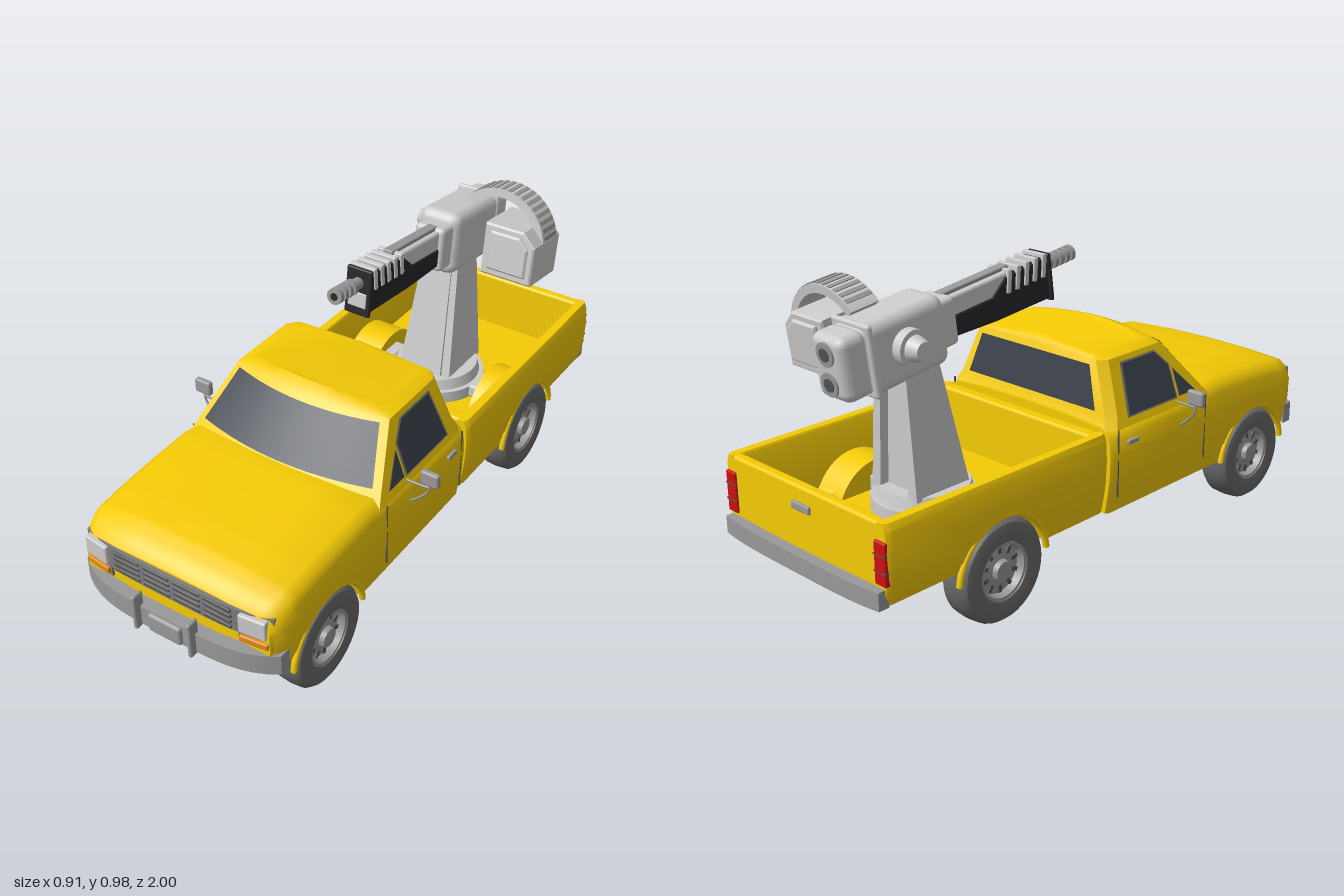
import * as THREE from 'three';
import { toCreasedNormals } from 'three/addons/utils/BufferGeometryUtils.js';
import { RoundedBoxGeometry } from 'three/addons/geometries/RoundedBoxGeometry.js';

const mat = (color, side = THREE.FrontSide) => new THREE.MeshStandardMaterial({ color, side });
const paint = mat(0xf5cb05, THREE.DoubleSide), glass = mat(0x3c424c, THREE.DoubleSide);
const grey = mat(0xcccccc), steel = mat(0x999999), rubber = mat(0x6a6a6a), under = mat(0x555555);
const dark = mat(0x28282c), red = mat(0xcc1111), amber = mat(0xe08a1e), trim = mat(0x7d7d7d, THREE.DoubleSide);
const lerp = THREE.MathUtils.lerp;

function add(parent, name, geo, material, x = 0, y = 0, z = 0) {
  const m = new THREE.Mesh(geo, material);
  m.name = name;
  m.position.set(x, y, z);
  parent.add(m);
  return m;
}
const box = (w, h, d) => new THREE.BoxGeometry(w, h, d);
const rbox = (w, h, d, r = 0.01) => new RoundedBoxGeometry(w, h, d, 2, r);
const cyl = (r1, r2, h, n = 24) => new THREE.CylinderGeometry(r1, r2, h, n);
const cylX = (r1, r2, h, n) => cyl(r1, r2, h, n).rotateZ(-Math.PI / 2);
const cylZ = (r1, r2, h, n) => cyl(r1, r2, h, n).rotateX(Math.PI / 2);
const shape = pts => new THREE.Shape(pts.map(p => new THREE.Vector2(...p)));
const tube = (pts, r) => new THREE.TubeGeometry(new THREE.CatmullRomCurve3(pts.map(p => new THREE.Vector3(...p))), 16, r, 8);

// Moves every vertex by a rule
function warp(geo, rule) {
  const p = geo.attributes.position, v = new THREE.Vector3();
  for (let i = 0; i < p.count; i++) {
    rule(v.fromBufferAttribute(p, i));
    p.setXYZ(i, v.x, v.y, v.z);
  }
  geo.computeVertexNormals();
  return geo;
}
// Side profile of [z, y] points, extruded across x and centred
const sideExtrude = (pts, width, bevel = 0) => new THREE.ExtrudeGeometry(shape(pts.map(([z, y]) => [-z, y])), {
  depth: width - 2 * bevel, bevelEnabled: bevel > 0, bevelSize: bevel, bevelThickness: bevel, bevelOffset: -bevel, bevelSegments: 1,
}).translate(0, 0, -width / 2 + bevel).rotateY(Math.PI / 2);

// Skin over closed rings, with triangulated caps; (a, b) are the axes of the cap plane
function loft(rings, a, b) {
  const n = rings[0].length, index = [];
  for (let i = 0; i < rings.length - 1; i++) for (let j = 0; j < n; j++) {
    const k = (j + 1) % n, p = i * n, q = p + n;
    index.push(p + j, p + k, q + k, p + j, q + k, q + j);
  }
  for (const i of [0, rings.length - 1]) {
    const faces = THREE.ShapeUtils.triangulateShape(rings[i].map(p => new THREE.Vector2(p[a], p[b])), []);
    for (const [u, v, w] of faces) index.push(...(i ? [u, v, w] : [u, w, v]).map(t => t + i * n));
  }
  const g = new THREE.BufferGeometry();
  g.setAttribute('position', new THREE.Float32BufferAttribute(rings.flat(2), 3));
  g.setIndex(index);
  return toCreasedNormals(g, 0.6);
}
const mirrorRing = (half, z) => [...half, ...half.slice(1, -1).reverse().map(([x, y]) => [-x, y])].map(([x, y]) => [x, y, z]);

const AXLE_Y = 0.165, FRONT = 0.68, REAR = -0.53, ARCH = 0.175;
const sill = (z, zc, base) => Math.max(base, Math.abs(z - zc) < ARCH ? AXLE_Y + Math.sqrt(ARCH ** 2 - (z - zc) ** 2) : 0);
function stations(z0, z1, zc, extra) {
  const s = [z0, z1, ...extra];
  for (let k = 0; k <= 24; k++) s.push(zc + ARCH * Math.cos(k * Math.PI / 24));
  return s.sort((p, q) => p - q);
}
const lowerSide = (yb, s) => [[0, 0.2], [0.24, 0.2], [0.24, Math.max(0.2, yb)], [0.345 * s, yb],
  [0.355 * s, Math.max(yb, 0.25)], [0.362 * s, Math.max(yb, 0.3)], [0.365 * s, 0.375]];

// Height of the hood and cowl along z
const hood = [[-0.075, 0.47], [0.4, 0.487], [0.46, 0.496], [0.6, 0.491], [0.75, 0.482], [0.84, 0.472], [0.89, 0.455], [0.915, 0.438], [0.928, 0.42]];
function hoodY(z) {
  const i = Math.max(1, hood.findIndex(p => p[0] >= z - 1e-6)), [p, q] = [hood[i - 1], hood[i]];
  return lerp(p[1], q[1], (z - p[0]) / (q[0] - p[0]));
}
function cabBody() {
  const zs = stations(-0.075, 0.928, FRONT, [-0.06, 0.2, 0.4, 0.46, 0.87, 0.89, 0.905, 0.915]);
  return loft(zs.map(z => {
    const s = z > 0.84 ? 1 - 0.09 * ((z - 0.84) / 0.088) ** 2 : z < -0.07 ? 0.98 : 1, t = hoodY(z);
    return mirrorRing([...lowerSide(sill(z, FRONT, z > FRONT ? 0.22 : 0.185), s), [0.36 * s, t - 0.05],
      [0.348 * s, t - 0.025], [0.322 * s, t - 0.006], [0.17 * s, t + 0.003], [0, t + 0.006]], z);
  }), 0, 1);
}
function bedBody() {
  const zs = stations(-0.96, -0.09, REAR, [-0.945, -0.105]);
  return loft(zs.map((z, i) => {
    const s = i === 0 || i === zs.length - 1 ? 0.975 : 1;
    return mirrorRing([...lowerSide(sill(z, REAR, z < REAR ? 0.22 : 0.2), s), [0.36 * s, 0.44],
      [0.35 * s, 0.46], [0.322, 0.46], [0.315, 0.45], [0.312, 0.26], [0, 0.26]], z);
  }), 0, 1);
}

// Greenhouse levels: y, half width, front centre z, front side z, rear z, crown
const levels = [[0.455, 0.354, 0.475, 0.42, -0.072, 0], [0.49, 0.34, 0.445, 0.39, -0.055, 0], [0.655, 0.278, 0.3, 0.25, -0.03, 0.004],
  [0.665, 0.262, 0.28, 0.235, -0.022, 0.011], [0.669, 0.225, 0.25, 0.21, -0.005, 0.016]];
const greenhouse = () => loft(levels.map(([y, w, zc, zs, zr, c]) => {
  const ring = [];
  for (let k = 0; k <= 12; k++) {
    const u = 1 - k / 6;
    ring.push([u * w, y + c * (1 - u * u), lerp(zs, zc, 1 - u * u)]);
  }
  ring.push([-w, y, zr + 0.03], [-w + 0.025, y, zr], [0, y + c, zr], [w - 0.025, y, zr], [w, y, zr + 0.03]);
  return ring;
}), 0, 2);
const sideX = y => lerp(0.34, 0.278, (y - 0.49) / 0.165);
const sidePane = (pts, s, off) => warp(new THREE.ShapeGeometry(shape(pts)), v => v.set(s * (sideX(v.y) + off), v.y, v.x));
const grow = (pts, k) => {
  const c = [0, 1].map(a => pts.reduce((t, p) => t + p[a], 0) / pts.length);
  return pts.map(p => [0, 1].map(a => c[a] + (p[a] - c[a]) * k));
};

function wheel(s) {
  const g = new THREE.Group();
  g.name = 'wheel';
  const tyre = [[0.088, -0.05], [0.125, -0.057], [0.15, -0.05], [0.161, -0.036], [0.164, 0], [0.161, 0.036], [0.15, 0.05], [0.125, 0.057], [0.092, 0.05], [0.088, 0.02]];
  const rim = [[0, -0.04], [0.088, -0.045], [0.09, 0.046], [0.082, 0.046], [0.076, 0.022], [0.045, 0.03], [0.034, 0.032], [0.03, 0.048], [0, 0.05]];
  const spin = pts => toCreasedNormals(new THREE.LatheGeometry(pts.map(p => new THREE.Vector2(...p)), 40).rotateZ(-Math.PI / 2), 0.6);
  add(g, 'tyre', spin(tyre), rubber);
  add(g, 'rim', spin(rim), steel);
  for (let k = 0; k < 10; k++) {
    const a = k * Math.PI / 5;
    add(g, 'rimSlot', box(0.004, 0.024, 0.012), under, 0.027, 0.062 * Math.cos(a), 0.062 * Math.sin(a)).rotation.x = a;
  }
  g.rotation.y = s > 0 ? 0 : Math.PI;
  return g;
}

function buildTruck(truck) {
  add(truck, 'cabBody', cabBody(), paint);
  add(truck, 'cargoBed', bedBody(), paint);
  add(truck, 'bedFrontWall', rbox(0.66, 0.25, 0.045), paint, 0, 0.335, -0.115);
  add(truck, 'tailgate', rbox(0.66, 0.235, 0.035), paint, 0, 0.342, -0.943);
  add(truck, 'tailgateHandle', rbox(0.08, 0.025, 0.012, 0.005), steel, 0, 0.4, -0.964);
  add(truck, 'greenhouse', greenhouse(), paint);

  // Windows follow the slope of the greenhouse
  add(truck, 'windshield', warp(new THREE.PlaneGeometry(1.86, 1, 16, 4), v => {
    const t = lerp(0.07, 0.93, v.y + 0.5), u = v.x * (1 - 0.02 * t);
    v.set(u * lerp(0.34, 0.278, t), lerp(0.493, 0.661, t), lerp(lerp(0.39, 0.25, t), lerp(0.445, 0.3, t), 1 - u * u) + 0.004);
  }), glass);
  add(truck, 'rearWindow', warp(new THREE.PlaneGeometry(1.7, 1), v => {
    const t = v.y + 0.5;
    v.set(-v.x * lerp(0.325, 0.275, t), lerp(0.505, 0.64, t), lerp(-0.058, -0.037, t));
  }), glass);
  const pane = [[0.255, 0.485], [0.255, 0.585], [0.205, 0.635], [0.05, 0.635], [0.026, 0.485]];
  const vent = [[0.272, 0.485], [0.352, 0.485], [0.272, 0.57]];
  for (const s of [1, -1]) {
    for (const p of [pane, vent]) {
      add(truck, 'windowFrame', sidePane(grow(p, 1.07), s, 0.003), trim);
      add(truck, 'sideWindow', sidePane(p, s, 0.005), glass);
    }
    for (const z of [0.39, -0.045]) add(truck, 'doorSeam', box(0.004, 0.22, 0.004), under, s * 0.3625, 0.35, z);
    add(truck, 'doorHandle', rbox(0.012, 0.016, 0.05, 0.004), steel, s * 0.366, 0.41, 0.02);
    for (const z of [FRONT, REAR]) {
      add(truck, 'archLip', new THREE.TorusGeometry(ARCH, 0.01, 8, 32, Math.PI * 0.94).rotateZ(Math.PI * 0.03).rotateY(Math.PI / 2), paint, s * 0.353, AXLE_Y, z);
      const w = wheel(s);
      w.position.set(s * 0.307, AXLE_Y, z);
      truck.add(w);
    }
    add(truck, 'bedWheelWell', new THREE.CylinderGeometry(0.155, 0.155, 0.115, 24, 1, false, 0, Math.PI).rotateZ(Math.PI / 2), paint, s * 0.255, 0.2, REAR);
    // Door mirror on a tube bracket
    add(truck, 'mirror', rbox(0.062, 0.05, 0.022, 0.008), steel, s * 0.426, 0.5, 0.255);
    add(truck, 'mirrorArm', tube([[s * 0.36, 0.39, 0.26], [s * 0.395, 0.42, 0.26], [s * 0.42, 0.45, 0.257], [s * 0.426, 0.48, 0.255]], 0.004), steel);
    add(truck, 'mirrorArm', tube([[s * 0.345, 0.467, 0.26], [s * 0.39, 0.467, 0.26], [s * 0.424, 0.467, 0.257]], 0.004), steel);
    // Lamps and bumper guards
    add(truck, 'headlight', rbox(0.088, 0.066, 0.03, 0.006), grey, s * 0.279, 0.383, 0.927).rotation.y = s * 0.12;
    add(truck, 'indicator', rbox(0.092, 0.022, 0.03, 0.005), amber, s * 0.281, 0.327, 0.926).rotation.y = s * 0.12;
    add(truck, 'bumperGuard', rbox(0.014, 0.125, 0.04, 0.006), steel, s * 0.1, 0.278, 0.98);
    add(truck, 'tailLight', rbox(0.046, 0.13, 0.035, 0.006), red, s * 0.333, 0.345, -0.95);
    for (const y of [0.32, 0.37]) add(truck, 'tailLightBar', box(0.048, 0.004, 0.037), under, s * 0.333, y, -0.95);
  }

  // Grille with four rows of slots
  const bend = (w, h, d, k) => toCreasedNormals(warp(new THREE.BoxGeometry(w, h, d, 20, 1, 1), v => { v.z -= k * Math.abs(2 * v.x / w) ** 4; }), 0.5);
  add(truck, 'grillePanel', bend(0.672, 0.084, 0.03, 0.03), trim, 0, 0.378, 0.926);
  for (const s of [1, -1]) add(truck, 'lampSurround', box(0.105, 0.04, 0.026), trim, s * 0.281, 0.325, 0.917).rotation.y = s * 0.12;
  for (let r = 0; r < 4; r++) for (let c = 0; c < 4; c++)
    add(truck, 'grilleSlot', rbox(0.096, 0.012, 0.008, 0.004), under, (c - 1.5) * 0.109, 0.349 + r * 0.02, 0.94);
  add(truck, 'frontBumper', bend(0.71, 0.07, 0.04, 0.065), steel, 0, 0.258, 0.957);
  add(truck, 'bumperPlate', rbox(0.12, 0.066, 0.02), steel, 0, 0.258, 0.98);
  add(truck, 'rearBumper', bend(0.69, 0.055, 0.035, -0.015), steel, 0, 0.243, -0.982);

  // Running gear
  for (const z of [FRONT, REAR]) {
    add(truck, 'axle', cylX(0.022, 0.022, 0.5, 16), under, 0, AXLE_Y, z);
    add(truck, 'differential', new THREE.SphereGeometry(0.05, 20, 14).scale(1.5, 0.75, 1.1), under, 0, AXLE_Y, z);
    for (const s of [1, -1]) add(truck, 'axleArm', cylX(s > 0 ? 0.03 : 0.042, s > 0 ? 0.042 : 0.03, 0.1, 16), under, s * 0.2, AXLE_Y + 0.005, z);
  }
  add(truck, 'driveShaft', tube([[0, 0.165, FRONT], [0, 0.17, 0.4], [0, 0.165, 0], [0, 0.165, REAR]], 0.022), under);
  add(truck, 'gearbox', rbox(0.1, 0.06, 0.2, 0.02), under, 0, 0.18, 0.3);
}

function buildTurret(turret) {
  // Pedestal
  add(turret, 'basePlate', cyl(0.165, 0.165, 0.045, 40), grey, 0, 0.28, -0.51);
  add(turret, 'turntable', cyl(0.14, 0.15, 0.04, 40), grey, 0, 0.32, -0.51);
  const taper = geo => toCreasedNormals(warp(geo, v => { v.x *= lerp(1.25, 0.85, (v.y - 0.33) / 0.4); }), 0.5);
  add(turret, 'pedestal', taper(sideExtrude([[-0.41, 0.33], [-0.5, 0.74], [-0.6, 0.74], [-0.6, 0.33]], 0.11)), grey);
  for (const s of [1, -1]) {
    add(turret, 'pedestalCheek', taper(sideExtrude([[-0.42, 0.33], [-0.505, 0.74], [-0.63, 0.74], [-0.63, 0.33]], 0.03).translate(s * 0.065, 0, 0)), grey);
    add(turret, 'baseBracket', rbox(0.1, 0.05, 0.1), grey, s * 0.205, 0.285, -0.51);
    add(turret, 'bracketFoot', rbox(0.05, 0.03, 0.13), grey, s * 0.25, 0.275, -0.51);
  }

  // Weapon, tilted slightly upward
  const gun = new THREE.Group();
  gun.name = 'gun';
  gun.position.set(0, 0.8, -0.63);
  gun.rotation.x = -0.13;
  turret.add(gun);
  add(gun, 'housing', rbox(0.155, 0.215, 0.3, 0.035), grey, -0.005, 0, 0.01);
  add(gun, 'housingRear', rbox(0.14, 0.195, 0.1, 0.03), grey, -0.005, 0, -0.17);
  add(gun, 'housingBand', rbox(0.162, 0.222, 0.02, 0.01), grey, -0.005, 0, -0.12);
  for (const y of [-0.045, 0.045]) {
    add(gun, 'rearPort', cylZ(0.036, 0.036, 0.012, 24), steel, -0.005, y, -0.219);
    add(gun, 'rearPortCore', cylZ(0.02, 0.02, 0.016, 24), under, -0.005, y, -0.22);
  }
  add(gun, 'neck', rbox(0.11, 0.15, 0.08, 0.015), grey, 0, 0, 0.18);
  add(gun, 'pivotDisc', cylX(0.055, 0.055, 0.035, 28), grey, -0.098, 0.005, 0);
  add(gun, 'pivotKnob', cylX(0.04, 0.028, 0.04, 28), grey, -0.135, 0.005, 0);
  add(gun, 'receiver', rbox(0.072, 0.08, 0.3, 0.01), grey, 0.003, 0.025, 0.33);
  add(gun, 'receiverRail', rbox(0.035, 0.02, 0.28, 0.005), steel, 0.003, 0.067, 0.34);
  add(gun, 'barrelShroud', sideExtrude([[0.2, -0.06], [0.2, 0.01], [0.38, 0.01], [0.44, 0.055], [0.63, 0.062], [0.63, -0.08], [0.4, -0.075]], 0.08, 0.008), dark, 0.003);
  for (let k = 0; k < 5; k++) {
    const fin = add(gun, 'coolingFin', rbox(0.09, 0.075, 0.018, 0.004), grey, 0.003, 0.035, 0.455 + k * 0.038);
    fin.rotation.x = 0.2;
  }
  add(gun, 'muzzleFrame', rbox(0.09, 0.155, 0.014, 0.005), dark, 0.003, -0.01, 0.632);
  add(gun, 'muzzlePlate', rbox(0.066, 0.05, 0.01, 0.004), grey, 0.003, -0.035, 0.637);
  add(gun, 'barrel', cylZ(0.019, 0.019, 0.16, 20), steel, 0.003, 0.02, 0.69);
  for (let k = 0; k < 4; k++) add(gun, 'muzzleRing', cylZ(0.026, 0.026, 0.016, 20), steel, 0.003, 0.02, 0.684 + k * 0.026);
  add(gun, 'bore', cylZ(0.012, 0.012, 0.004, 16), dark, 0.003, 0.02, 0.77);

  // Ammunition box and curved feed chute
  const outline = [[0.125, -0.1], [0.31, -0.1], [0.31, 0.035], [0.265, 0.08], [0.125, 0.08]];
  const slab = (pts, d) => new THREE.ExtrudeGeometry(shape(pts), { depth: d, bevelEnabled: true, bevelSize: 0.006, bevelThickness: 0.006, bevelOffset: -0.006, bevelSegments: 1 }).translate(0, 0, -d / 2);
  add(gun, 'ammoBox', slab(outline, 0.18), grey, 0, 0, -0.03);
  add(gun, 'ammoBoxPanel', slab(grow(outline, 0.75), 0.2), grey, 0, 0, -0.03);
  const chute = new THREE.Shape();
  chute.absarc(0.14, 0, 0.172, 0.1, 2.4, false);
  chute.absarc(0.14, 0, 0.145, 2.4, 0.1, true);
  add(gun, 'feedChute', toCreasedNormals(new THREE.ExtrudeGeometry(chute, { depth: 0.1, bevelEnabled: false, curveSegments: 32 }), 0.5), grey, 0, 0.005, -0.1);
  for (let k = 0; k < 14; k++) {
    const a = 0.25 + k * 0.15;
    add(gun, 'chuteLink', box(0.006, 0.014, 0.09), steel, 0.14 + 0.172 * Math.cos(a), 0.005 + 0.172 * Math.sin(a), -0.05).rotation.z = a;
  }
}

export function createModel() {
  const model = new THREE.Group();
  model.name = 'pickupWithTurret';
  for (const [name, build] of [['truck', buildTruck], ['turret', buildTurret]]) {
    const g = new THREE.Group();
    g.name = name;
    build(g);
    model.add(g);
  }
  return model;
}
